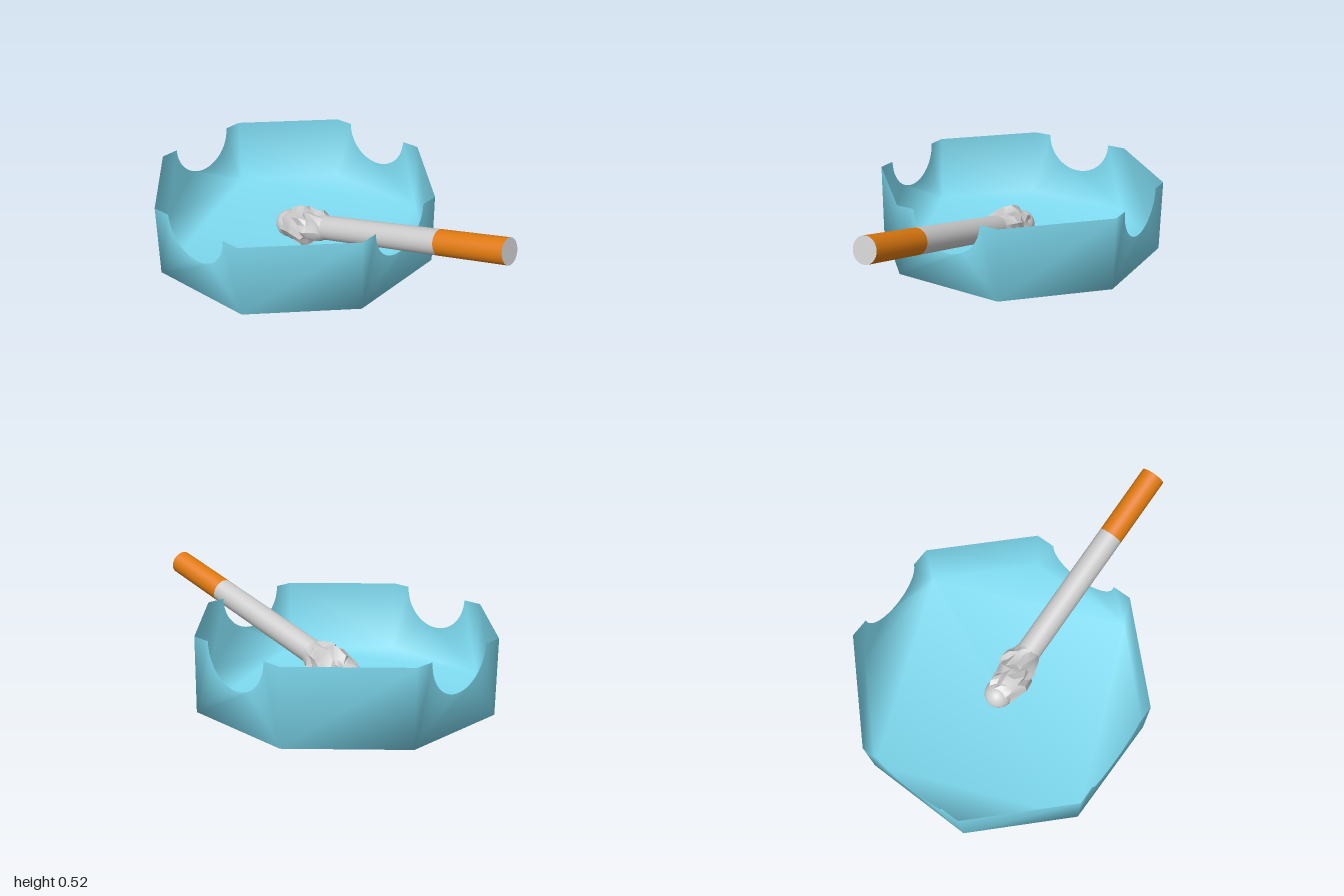
import * as THREE from 'three';
import { mergeGeometries, mergeVertices, toCreasedNormals } from 'three/addons/utils/BufferGeometryUtils.js';

const APOTHEM = 0.69, HALF = APOTHEM * Math.tan(Math.PI / 8);
const BASE = 0.035, RIM = 0.405, NOTCH = 0.187;

const grey = new THREE.MeshStandardMaterial({ color: 0xcccccc });
const blue = new THREE.MeshStandardMaterial({ color: 0x7fdcf2, side: THREE.DoubleSide });
const orange = new THREE.MeshStandardMaterial({ color: 0xe07a10 });

function part(name, geometry, material) {
  const mesh = new THREE.Mesh(geometry, material);
  mesh.name = name;
  return mesh;
}

// One flat side of the tray, with an optional half-round rest cut in its rim
function wall(k) {
  const s = new THREE.Shape();
  s.moveTo(-HALF, BASE);
  s.lineTo(HALF, BASE);
  s.lineTo(HALF, RIM);
  if (k % 2 === 0) {
    s.lineTo(NOTCH, RIM);
    s.absarc(0, RIM, NOTCH, 0, Math.PI, true);
  }
  s.lineTo(-HALF, RIM);
  return new THREE.ShapeGeometry(s, 32).translate(0, 0, APOTHEM).rotateY(k * Math.PI / 4);
}

// Thin octagonal tray, welded so the shading runs smoothly round its corners
function trayGeometry() {
  const corners = [], pieces = [];
  const r = APOTHEM / Math.cos(Math.PI / 8);
  for (let k = 0; k < 8; k++) {
    const a = (k + 0.5) * Math.PI / 4;
    corners.push(new THREE.Vector2(r * Math.cos(a), r * Math.sin(a)));
    pieces.push(wall(k));
  }
  const floor = new THREE.ShapeGeometry(new THREE.Shape(corners));
  pieces.push(floor.rotateX(Math.PI / 2).translate(0, BASE, 0));
  const g = mergeGeometries(pieces);
  g.deleteAttribute('uv');
  g.deleteAttribute('normal');
  const welded = mergeVertices(g, 1e-4);
  welded.computeVertexNormals();
  return welded;
}

// Crumpled ash: a tube whose rings are roughened by a seeded rule
function ashGeometry() {
  const segs = 16, rings = 8, length = 0.28;
  const noise = (i, j) => {
    const n = Math.sin(i * 127.1 + j * 311.7) * 43758.5453;
    return n - Math.floor(n);
  };
  const g = new THREE.CylinderGeometry(1, 1, length, segs, rings, true);
  const p = g.attributes.position;
  for (let v = 0; v < p.count; v++) {
    const ring = Math.floor(v / (segs + 1)), seg = (v % (segs + 1)) % segs;
    const a = seg / segs * Math.PI * 2;
    const swell = Math.sin(Math.PI * Math.min(1, ring / rings * 0.85 + 0.04));
    let r = 0.058 + swell * (0.005 + 0.05 * noise(ring + 1, seg + 1));
    // flakes that press down through the floor
    if (seg === 4 && (ring === 5 || ring === 6)) r = 0.134;
    const slip = ring > 0 && ring < rings ? (noise(seg + 5, ring + 9) - 0.5) * 0.03 : 0;
    p.setXYZ(v, r * Math.sin(a), p.getY(v) + slip, r * Math.cos(a) + (r > 0.12 ? 0.025 : 0));
  }
  g.deleteAttribute('uv');
  return toCreasedNormals(g, 0.6);
}

// Cigarette along its own y axis, filter end at the origin
function cigarette() {
  const group = new THREE.Group();
  group.name = 'cigarette';
  const R = 0.063, filterEnd = -0.378, paperEnd = -1.13;
  const tube = (from, to, open) =>
    new THREE.CylinderGeometry(R, R, from - to, 32, 1, open).translate(0, (from + to) / 2, 0);

  const filter = part('filter', tube(0, filterEnd, true), orange);
  const paper = part('paper', tube(filterEnd, paperEnd, false), grey);
  const tip = part('filterTip', new THREE.CircleGeometry(R, 32).rotateX(-Math.PI / 2), grey);
  const ashMaterial = grey.clone();
  ashMaterial.side = THREE.DoubleSide;
  const ash = part('ash', ashGeometry(), ashMaterial);
  ash.position.y = -1.235;
  const ember = part('ember', new THREE.SphereGeometry(0.073, 32, 20), grey);
  ember.position.y = -1.37;
  group.add(filter, paper, tip, ash, ember);

  group.position.set(0.983, 0.464, 0.004);
  group.rotation.z = -THREE.MathUtils.degToRad(75.2);
  return group;
}

export function createModel() {
  const model = new THREE.Group();
  model.name = 'ashtray';
  const tray = part('tray', trayGeometry(), blue);
  tray.position.x = -0.31;
  model.add(tray, cigarette());
  return model;
}
